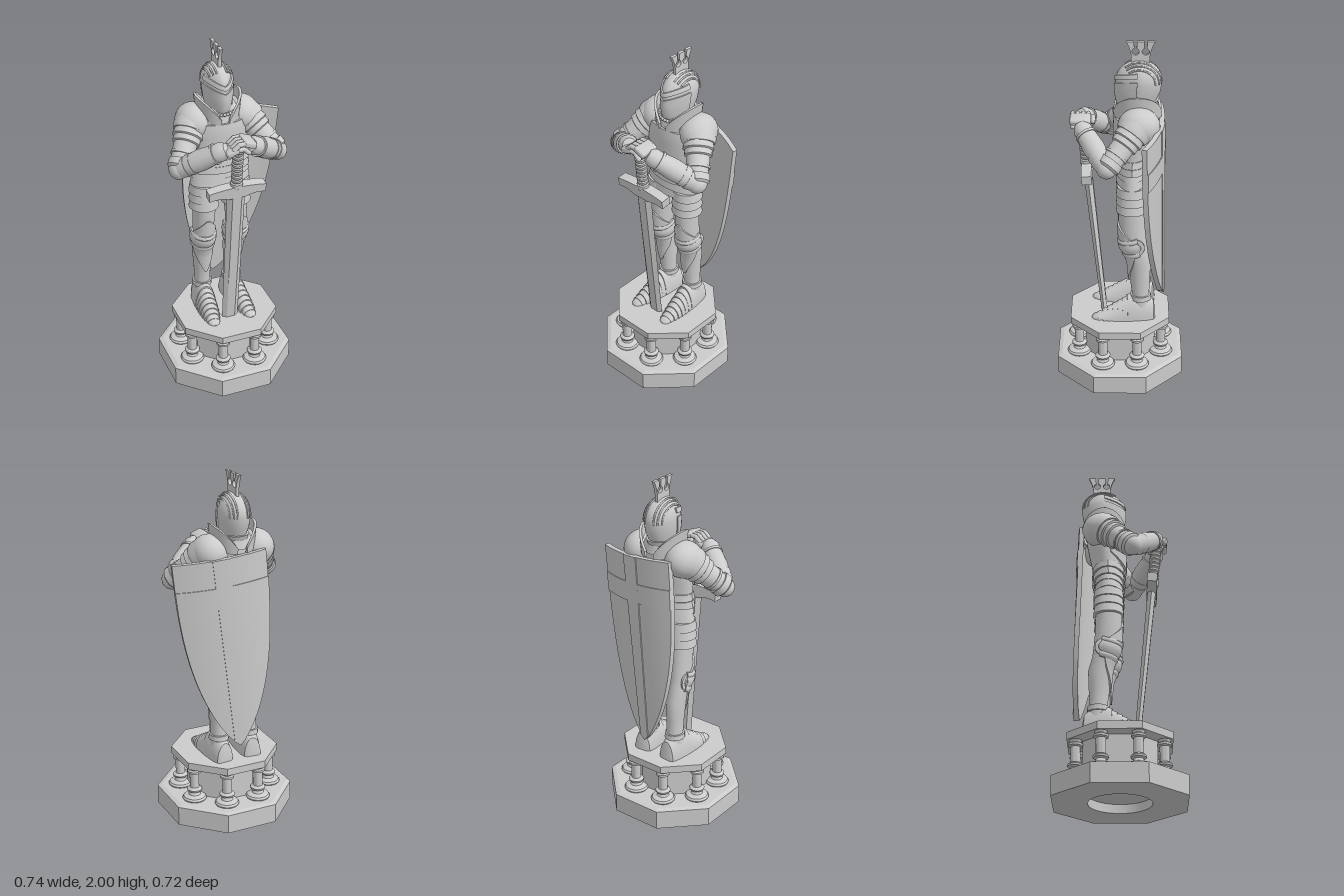
import * as THREE from 'three';
import { toCreasedNormals } from 'three/addons/utils/BufferGeometryUtils.js';
import { RoundedBoxGeometry } from 'three/addons/geometries/RoundedBoxGeometry.js';

const V = (x, y, z) => new THREE.Vector3(x, y, z);
const steel = new THREE.MeshStandardMaterial({ color: 0xcccccc, side: THREE.DoubleSide });

function add(parent, name, geo, x = 0, y = 0, z = 0, crease = 0.6) {
  const m = new THREE.Mesh(crease ? toCreasedNormals(geo, crease) : geo, steel);
  m.name = name;
  m.position.set(x, y, z);
  parent.add(m);
  return m;
}

// Skin over a stack of equal-length rings, capped at both ends
function skin(rings) {
  const n = rings[0].length, pos = [], idx = [];
  rings.forEach(r => r.forEach(p => pos.push(p.x, p.y, p.z)));
  for (let i = 0; i < rings.length - 1; i++) for (let j = 0; j < n; j++) {
    const a = i * n + j, b = i * n + (j + 1) % n;
    idx.push(a, b, b + n, a, b + n, a + n);
  }
  const last = (rings.length - 1) * n;
  for (let j = 1; j < n - 1; j++) idx.push(0, j + 1, j, last, last + j, last + j + 1);
  const g = new THREE.BufferGeometry();
  g.setAttribute('position', new THREE.Float32BufferAttribute(pos, 3));
  g.setIndex(idx);
  return g;
}

// Elliptical rows: [y, x, z, rx, rz, pinch]; phi runs from the front (+z) toward +x
const onRow = ([y, x, z, rx, rz, pinch = 0], phi, off = 0) => V(
  x + (rx + off) * Math.sin(phi) * (1 - pinch * Math.max(0, Math.cos(phi))), y, z + (rz + off) * Math.cos(phi));
const loft = (rows, n = 32) => skin(rows.map(r =>
  Array.from({ length: n }, (_, j) => onRow(r, j / n * Math.PI * 2))));
function rowAt(rows, y) {
  let i = 0;
  while (i < rows.length - 2 && rows[i + 1][0] < y) i++;
  const a = rows[i], b = rows[i + 1], t = (y - a[0]) / (b[0] - a[0]);
  return a.map((v, k) => v + (b[k] - v) * t);
}
// Box whose vertices are moved by a rule f(u in -1..1, v in 0..1, w in -.5...5)
function warp(nx, ny, f) {
  const g = new THREE.BoxGeometry(2, 1, 1, nx, ny, 1), p = g.attributes.position;
  for (let i = 0; i < p.count; i++) {
    const q = f(p.getX(i), p.getY(i) + 0.5, p.getZ(i));
    p.setXYZ(i, q.x, q.y, q.z);
  }
  return g;
}
// Curved armour plate lying on a lofted surface
const plate = (rows, f, thick = 0.012) => warp(16, 8, (u, v, w) => {
  const [phi, y, off] = f(u, v);
  return onRow(rowAt(rows, y), phi, off + w * thick);
});
// Turned limb from a to b with profile points [radius, fraction of length]
function limb(parent, name, a, b, profile) {
  const d = b.clone().sub(a), len = d.length();
  const g = new THREE.LatheGeometry(profile.map(([r, t]) => new THREE.Vector2(r, t * len)), 28);
  add(parent, name, g, a.x, a.y, a.z).quaternion.setFromUnitVectors(V(0, 1, 0), d.normalize());
}
const lathe = (pts, n = 24) => new THREE.LatheGeometry(pts.map(p => new THREE.Vector2(...p)), n);

function buildBase(g) {
  const R = a => a / Math.cos(Math.PI / 8);
  const octagon = (top, bottom, h) => new THREE.CylinderGeometry(R(top), R(bottom), h, 8).rotateY(Math.PI / 8);
  const s = new THREE.Shape(Array.from({ length: 8 }, (_, i) => {
    const a = (i + 0.5) * Math.PI / 4;
    return new THREE.Vector2(Math.cos(a) * R(0.36), Math.sin(a) * R(0.36));
  }));
  s.holes.push(new THREE.Path().absarc(0, 0, 0.172, 0, Math.PI * 2, true));
  add(g, 'plinthUnderside', new THREE.ExtrudeGeometry(s, { depth: 0.05, bevelEnabled: false, curveSegments: 24 }).rotateX(-Math.PI / 2));
  add(g, 'plinth', octagon(0.36, 0.36, 0.061), 0, 0.0805);
  add(g, 'plinthChamfer', octagon(0.337, 0.36, 0.008), 0, 0.115, 0, 0.2);
  add(g, 'drum', octagon(0.2, 0.2, 0.21), 0, 0.22);
  add(g, 'topSlab', octagon(0.283, 0.283, 0.042), 0, 0.339);
  const column = [[0, 0], [0.064, 0], [0.069, 0.01], [0.062, 0.022], [0.034, 0.032], [0.026, 0.05], [0.041, 0.056], [0.043, 0.066],
    [0.036, 0.074], [0.027, 0.078], [0.027, 0.165], [0.039, 0.17], [0.039, 0.182], [0.029, 0.188], [0.036, 0.205], [0, 0.205]];
  for (let i = 0; i < 8; i++) {
    const a = (i + 0.5) * Math.PI / 4;
    add(g, 'column', lathe(column), Math.cos(a) * 0.256, 0.116, Math.sin(a) * 0.256);
  }
}

function buildLeg(g, s) {
  const rows = [[0.42, 0.094, -0.12, 0.05, 0.055], [0.5, 0.092, -0.118, 0.046, 0.048], [0.6, 0.092, -0.113, 0.048, 0.056],
    [0.72, 0.095, -0.11, 0.055, 0.064], [0.8, 0.098, -0.086, 0.055, 0.066], [0.86, 0.1, -0.072, 0.058, 0.073],
    [0.95, 0.098, -0.066, 0.06, 0.072], [1.1, 0.092, -0.06, 0.068, 0.074], [1.2, 0.09, -0.06, 0.07, 0.078]].map(r => (r[1] *= s, r));
  add(g, 'leg', loft(rows));
  add(g, 'greavePlate', plate(rows, (u, v) => [u * (0.15 + 1.45 * v), 0.6 + 0.2 * v, 0.004]));
  add(g, 'thighPlate', plate(rows, (u, v) => [u * (1.6 - 1.45 * v), 0.88 + 0.1 * v, 0.004]));
  for (const [y, h, off] of [[0.785, 0.035, 0.004], [0.815, 0.06, 0.007], [0.87, 0.03, 0.004]])
    add(g, 'kneeLame', plate(rows, (u, v) => [u * 1.9, y + h * v - 0.025 * (1 - u * u), off + 0.007 * Math.sin(v * Math.PI)]));
  add(g, 'kneeDisc', lathe([[0, 0], [0.052, 0], [0.052, 0.01], [0.032, 0.012], [0.03, 0.02], [0, 0.024]]), s * 0.148, 0.84, -0.085).rotation.z = -s * Math.PI / 2;
  add(g, 'ankleRing', plate(rows, (u, v) => [u * Math.PI, 0.48 + 0.03 * v, 0.004]));

  // Armoured shoe with overlapping lames
  const shoe = [[-0.2, 0.06, 0.034], [-0.19, 0.11, 0.05], [-0.15, 0.14, 0.06], [-0.07, 0.148, 0.063], [-0.04, 0.14, 0.063]];
  for (let k = 0; k < 6; k++) {
    const z = -0.04 + k * 0.028, h = 0.128 - k * 0.0175, w = 0.061 - 0.0009 * k * k;
    shoe.push([z, h, w], [z + 0.028, h - 0.012, w]);
  }
  shoe.push([0.128, 0.026, 0.036], [0.15, 0.018, 0.026], [0.162, 0.005, 0.009]);
  const rings = shoe.map(([z, h, w]) => Array.from({ length: 17 }, (_, j) =>
    V(w * Math.cos(j / 16 * Math.PI), h * Math.sin(j / 16 * Math.PI), z)));
  add(g, 'shoe', skin(rings), s * 0.102, 0.36, 0).rotation.y = s * 0.08;

  // Tassets over the thigh
  const tasset = [];
  for (let k = 0; k < 3; k++) tasset.push([1.05 + k * 0.05, s * 0.095, -0.064, 0.086, 0.086], [1.1 + k * 0.05, s * 0.092, -0.064, 0.08, 0.08]);
  add(g, 'tasset', loft(tasset));
}

function buildTorso(g) {
  const skirt = [];
  for (let k = 0; k < 3; k++) skirt.push([1.16 + k * 0.045, 0, -0.064, 0.18 - k * 0.005, 0.088], [1.205 + k * 0.045, 0, -0.064, 0.17 - k * 0.005, 0.081]);
  add(g, 'skirt', loft(skirt, 40));
  const torso = [[1.28, 0, -0.065, 0.162, 0.083], [1.36, 0, -0.066, 0.16, 0.086], [1.45, 0, -0.075, 0.168, 0.096],
    [1.55, 0, -0.085, 0.17, 0.106], [1.62, 0, -0.09, 0.15, 0.1], [1.67, 0, -0.095, 0.08, 0.08]];
  add(g, 'torso', loft(torso, 40));
  for (const y of [1.285, 1.33])
    add(g, 'waistLame', plate(torso, (u, v) => [u * Math.PI, y + 0.04 * v, 0.006 - 0.006 * v]));
  add(g, 'breastplate', plate(torso, (u, v) => [u * 1.35, 1.37 + 0.05 * u * u + v * (0.22 - 0.06 * u * u), 0.004 + 0.008 * (1 - Math.abs(u))]));
  add(g, 'gorget', loft([[1.6, 0, -0.092, 0.13, 0.11], [1.64, 0, -0.092, 0.09, 0.1], [1.67, 0, -0.092, 0.078, 0.095]]));
  for (let i = -7; i <= 7; i++) {
    const a = i * 0.2;
    add(g, 'collarStud', new THREE.SphereGeometry(0.009, 8, 6), Math.sin(a) * 0.09, 1.638, -0.088 + Math.cos(a) * 0.104, 0);
  }
}

function buildArm(g, s) {
  const S = V(s * 0.152, 1.572, -0.09), E = V(s * 0.285, 1.395, 0.07), W = V(s * 0.08, 1.54, 0.207);
  const shoulder = add(g, 'shoulderPlate', new THREE.SphereGeometry(1, 32, 20), s * 0.138, 1.575, -0.1);
  shoulder.scale.set(0.1, 0.1, 0.114);
  limb(g, 'upperArm', S, E, [[0, -0.1], [0.088, -0.1], [0.094, 0.12], [0.088, 0.2], [0.08, 0.2], [0.084, 0.32], [0.074, 0.34], [0.075, 0.45],
    [0.064, 0.47], [0.062, 0.66], [0.067, 0.66], [0.067, 0.71], [0.059, 0.71], [0.058, 0.82], [0.066, 0.82], [0.067, 0.96], [0.05, 1.02], [0, 1.06]]);
  add(g, 'elbowCap', new THREE.SphereGeometry(0.055, 24, 16), E.x, E.y, E.z);
  limb(g, 'forearm', E, W, [[0, 0], [0.052, 0.02], [0.059, 0.16], [0.059, 0.2], [0.055, 0.2], [0.06, 0.28], [0.06, 0.33], [0.056, 0.33],
    [0.06, 0.5], [0.053, 0.78], [0.058, 0.78], [0.058, 0.83], [0.05, 0.83], [0.052, 0.95], [0.036, 1.06], [0, 1.1]]);

  // Standing collar wing on the shoulder
  const wing = [[1.58, 0, -0.095, 0.106, 0.124], [1.75, 0, -0.095, 0.126, 0.134]];
  add(g, 'collarWing', plate(wing, (u, v) =>
    [s * 1.55 + u * 1.35, 1.585 + v * (0.03 + 0.115 * (1 - u * u)), 0], 0.014));

  // Gauntlet, the left one resting on the right
  const y = s > 0 ? 1.58 : 1.55;
  add(g, 'palm', new RoundedBoxGeometry(0.075, 0.036, 0.115, 3, 0.014), s * 0.048, y - 0.006, 0.213).rotation.z = -s * 0.35;
  for (let i = 0; i < 4; i++) {
    const z = 0.172 + i * 0.028, f = new THREE.CapsuleGeometry(0.0135, 0.03, 4, 10);
    add(g, 'finger', f, s * 0.002, y + 0.004, z, 0).rotation.z = Math.PI / 2;
    add(g, 'fingertip', f, s * -0.03, y - 0.012, z, 0).rotation.z = -s * 0.85;
  }
  const thumb = add(g, 'thumb', new THREE.CapsuleGeometry(0.014, 0.045, 4, 10), s * 0.02, y - 0.015, 0.147, 0);
  thumb.rotation.z = Math.PI / 2 - s * 0.2;
}

function buildHelm(g) {
  const rows = [[1.63, 0, -0.088, 0.062, 0.09, 0.3], [1.67, 0, -0.088, 0.072, 0.105, 0.3], [1.72, 0, -0.095, 0.082, 0.12, 0.3]];
  for (let k = 0; k <= 9; k++) {
    const a = k / 9 * 1.55;
    rows.push([1.78 + 0.115 * Math.sin(a), 0, -0.1, 0.087 * Math.cos(a), 0.125 * Math.cos(a), 0.3]);
  }
  add(g, 'helm', loft(rows, 40), 0, 0, 0, 0.5);
  add(g, 'visor', plate(rows, (u, v) => [u * 1.5, 1.65 + v * (0.115 + 0.035 * Math.abs(u)), 0.002]));
  add(g, 'browPlate', plate(rows, (u, v) => [u * 1.5, 1.785 + 0.035 * Math.abs(u) + v * 0.025, 0.003]));
  add(g, 'neckRim', plate(rows, (u, v) => [Math.PI + u * 1.5, 1.65 + v * 0.025, 0.006]));
  // Ribs running from brow to nape
  for (const x of [-0.062, -0.046, -0.028, 0.028, 0.046, 0.062]) {
    const k = Math.sqrt(1 - (x / 0.087) ** 2);
    const path = Array.from({ length: 12 }, (_, i) => {
      const a = 0.9 + i / 11 * 2.3;
      return V(x, 1.78 + 0.115 * k * Math.sin(a), -0.1 + 0.125 * k * Math.cos(a));
    });
    add(g, 'helmRib', new THREE.TubeGeometry(new THREE.CatmullRomCurve3(path), 24, 0.005, 6), 0, 0, 0, 0);
  }
  // Three-lobed crest with two keyhole notches
  const c = new THREE.Shape().moveTo(-0.05, 1.86);
  c.lineTo(0.05, 1.86).lineTo(0.05, 1.92).quadraticCurveTo(0.056, 1.965, 0.077, 2).lineTo(0.036, 2);
  c.absarc(0.027, 1.945, 0.019, 1.25, 1.9, true).lineTo(0.02, 2).lineTo(-0.02, 2);
  c.absarc(-0.027, 1.945, 0.019, 1.25, 1.9, true).lineTo(-0.036, 2).lineTo(-0.077, 2).quadraticCurveTo(-0.056, 1.965, -0.05, 1.92);
  add(g, 'crest', new THREE.ExtrudeGeometry(c, { depth: 0.018, bevelEnabled: false }).translate(0, 0, -0.009).rotateY(-Math.PI / 2), 0, 0, -0.108);
}

function buildSword(g) {
  const sword = new THREE.Group();
  sword.name = 'sword';
  sword.position.set(0, 0.362, 0.092);
  sword.rotation.x = 0.098;
  const ring = (y, w, t) => [[w, 0], [w * 0.5, -t], [-w * 0.5, -t], [-w, 0], [-w * 0.5, t], [w * 0.5, t]].map(([x, z]) => V(x, y, z));
  add(sword, 'blade', skin([ring(0, 0.048, 0.016), ring(0.9, 0.053, 0.023)]), 0, 0, 0, 0.2);
  const s = new THREE.Shape().moveTo(-0.165, 0.045);
  s.lineTo(-0.162, -0.005).quadraticCurveTo(-0.1, 0.01, -0.055, -0.012).lineTo(0.055, -0.012);
  s.quadraticCurveTo(0.1, 0.01, 0.162, -0.005).lineTo(0.165, 0.045).quadraticCurveTo(0, 0.075, -0.165, 0.045);
  add(sword, 'crossguard', new THREE.ExtrudeGeometry(s, { depth: 0.056, bevelEnabled: false }), 0, 0.885, -0.028);
  const grip = [[0, 0.93], [0.034, 0.93], [0.034, 0.96]];
  for (let k = 0; k < 8; k++) grip.push([0.026, 0.965 + k * 0.025], [0.031, 0.972 + k * 0.025], [0.031, 0.983 + k * 0.025]);
  grip.push([0.042, 1.17], [0.042, 1.2], [0, 1.21]);
  add(sword, 'grip', lathe(grip), 0, 0, 0, 0.5);
  g.add(sword);
}

function buildShield(g) {
  const shield = new THREE.Group();
  shield.name = 'shield';
  shield.position.set(0.118, 1.57, -0.172);
  shield.rotation.set(0, -0.175, -0.1);
  const H = 1.1, half = t => 0.26 * Math.pow(Math.max(0, 1 - Math.pow(t, 2.8)), 0.8);
  // t runs down the shield, x across it; the face bulges backward
  const at = (x, t, z) => V(x, -t * H, z - 0.045 * (1 - (x / 0.26) ** 2));
  add(shield, 'shieldBody', warp(16, 40, (u, v, w) => at(u * half(1 - v), 1 - v, w * 0.028)));
  add(shield, 'crossUpright', warp(4, 40, (u, v, w) => at(u * Math.min(0.03 + 0.02 * v, half(1 - v)), 1 - v, -0.014 + w * 0.01)));
  add(shield, 'crossArm', warp(16, 2, (u, v, w) => at(u * half(0.24 - v * 0.1), 0.24 - v * 0.1, -0.014 + w * 0.01)));
  g.add(shield);
}

export function createModel() {
  const model = new THREE.Group();
  model.name = 'knightStatue';
  const figure = new THREE.Group();
  figure.name = 'figure';
  figure.position.x = -0.01;
  buildBase(figure);
  buildTorso(figure);
  for (const s of [-1, 1]) {
    buildLeg(figure, s);
    buildArm(figure, s);
  }
  buildHelm(figure);
  buildSword(figure);
  buildShield(figure);
  model.add(figure);
  return model;
}
